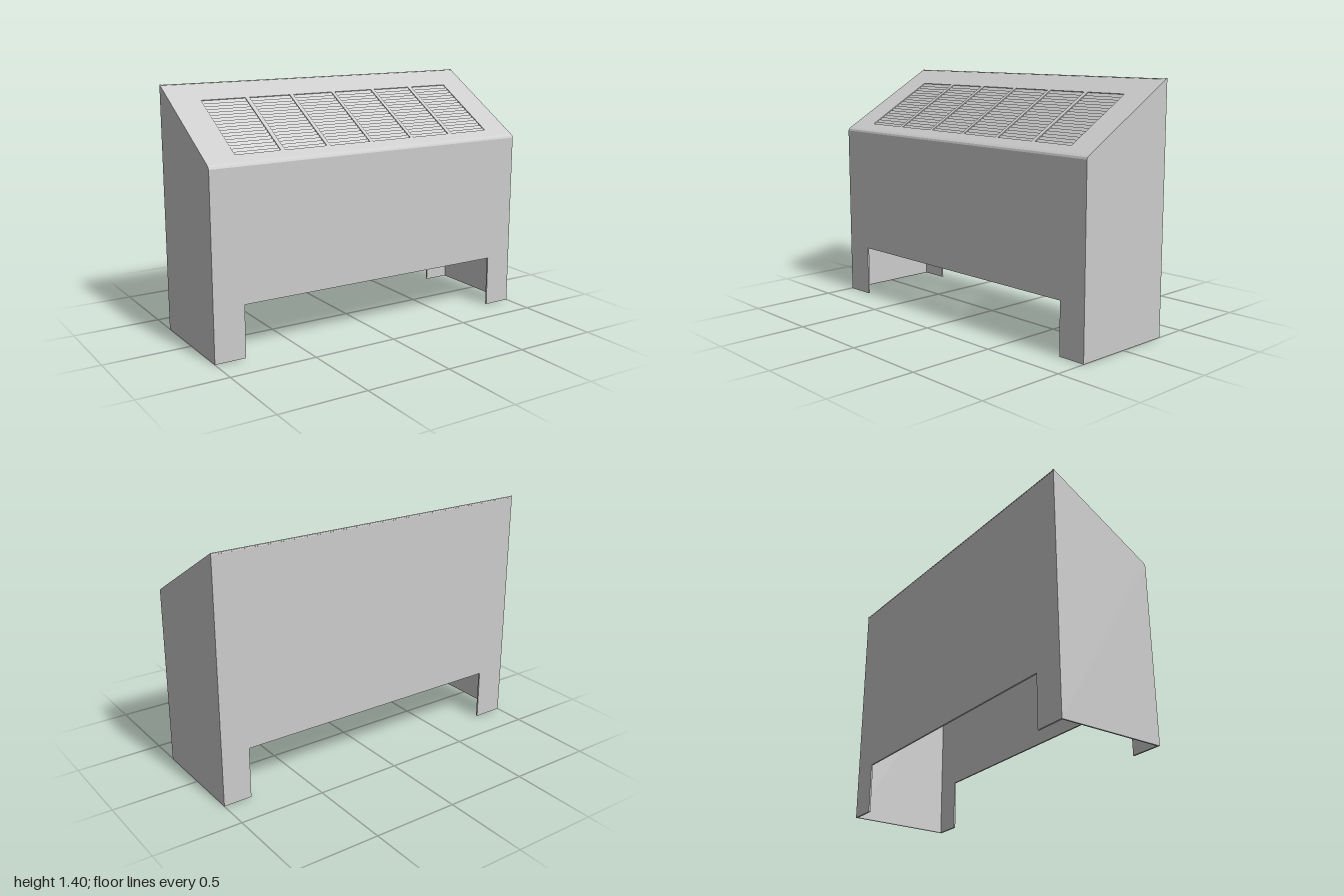
import * as THREE from 'three';

const T = 0.01;                       // sheet thickness
const W = 1, D = 0.312;               // half width, half depth
const BACK_Y = 1.405, FRONT_Y = 1.032;
const LIP_Z = 0.295, LIP_Y = 1.053;   // where the sloped top begins
const CUT_L = -0.82, CUT_R = 0.835, CUT_Y = 0.297;
const SLOPE = Math.atan2(BACK_Y - LIP_Y, LIP_Z + D);
const LENGTH = Math.hypot(BACK_Y - LIP_Y, LIP_Z + D);
const VENTS = [[-0.822, -0.556], [-0.53, -0.274], [-0.25, 0.005],
  [0.027, 0.282], [0.305, 0.556], [0.582, 0.835]];
const SLATS = 18;

function outline(points) {
  return new THREE.Shape(points.map(([x, y]) => new THREE.Vector2(x, y)));
}

function sheet(shape, depth = T) {
  return new THREE.ExtrudeGeometry(shape, { depth, bevelEnabled: false });
}

export function createModel() {
  const model = new THREE.Group();
  model.name = 'radiatorCover';
  const metal = new THREE.MeshStandardMaterial({ color: 0xcccccc });
  metal.name = 'paintedMetal';

  function add(parent, name, geometry) {
    const mesh = new THREE.Mesh(geometry, metal);
    mesh.name = name;
    parent.add(mesh);
    return mesh;
  }

  // Front and back panels, cut away at the bottom to leave two feet
  const panel = (top) => sheet(outline([
    [-W, 0], [CUT_L, 0], [CUT_L, CUT_Y], [CUT_R, CUT_Y], [CUT_R, 0],
    [W, 0], [W, top], [-W, top],
  ]));
  add(model, 'frontPanel', panel(FRONT_Y)).position.z = D - T;
  add(model, 'backPanel', panel(BACK_Y - 0.004)).position.z = -D;

  // Side panels: profile drawn in z and y, extruded along x
  const side = sheet(outline([
    [-D, 0], [D, 0], [D, FRONT_Y], [D - 0.004, 1.043], [LIP_Z, LIP_Y], [-D, BACK_Y],
  ]));
  side.rotateY(-Math.PI / 2);
  add(model, 'leftPanel', side).position.x = W;
  add(model, 'rightPanel', side).position.x = -W + T;

  // Folded lip between the front and the sloped top
  const lip = sheet(outline([
    [D - T, FRONT_Y - 0.005], [D, FRONT_Y - 0.005], [D, FRONT_Y], [D - 0.004, 1.043],
    [LIP_Z, LIP_Y], [LIP_Z - 0.006, LIP_Y - T],
  ]), 2 * W);
  lip.rotateY(-Math.PI / 2);
  add(model, 'frontLip', lip).position.x = W;

  // Sloped top: local y runs up the slope, local z points outward
  const top = new THREE.Group();
  top.name = 'slopedTop';
  top.position.set(0, LIP_Y, LIP_Z);
  top.rotation.x = SLOPE - Math.PI / 2;
  model.add(top);

  const v0 = (LIP_Z - 0.243) / Math.cos(SLOPE);
  const v1 = (LIP_Z + 0.168) / Math.cos(SLOPE);
  const cover = outline([[-W, 0], [W, 0], [W, LENGTH - 0.005], [-W, LENGTH - 0.005]]);
  for (const [a, b] of VENTS) {
    cover.holes.push(new THREE.Path([[a, v0], [a, v1], [b, v1], [b, v0]]
      .map(([x, y]) => new THREE.Vector2(x, y))));
  }
  add(top, 'topCover', sheet(cover)).position.z = -T;

  // Tilted louvre slats in each vent
  const pitch = (v1 - v0) / SLATS;
  for (const [a, b] of VENTS) {
    const slat = new THREE.BoxGeometry(b - a, pitch * 0.86, 0.004);
    for (let i = 0; i < SLATS; i++) {
      const mesh = add(top, 'louvreSlat', slat);
      mesh.position.set((a + b) / 2, v0 + (i + 0.5) * pitch, -0.007);
      mesh.rotation.x = 0.25;
    }
  }
  return model;
}
